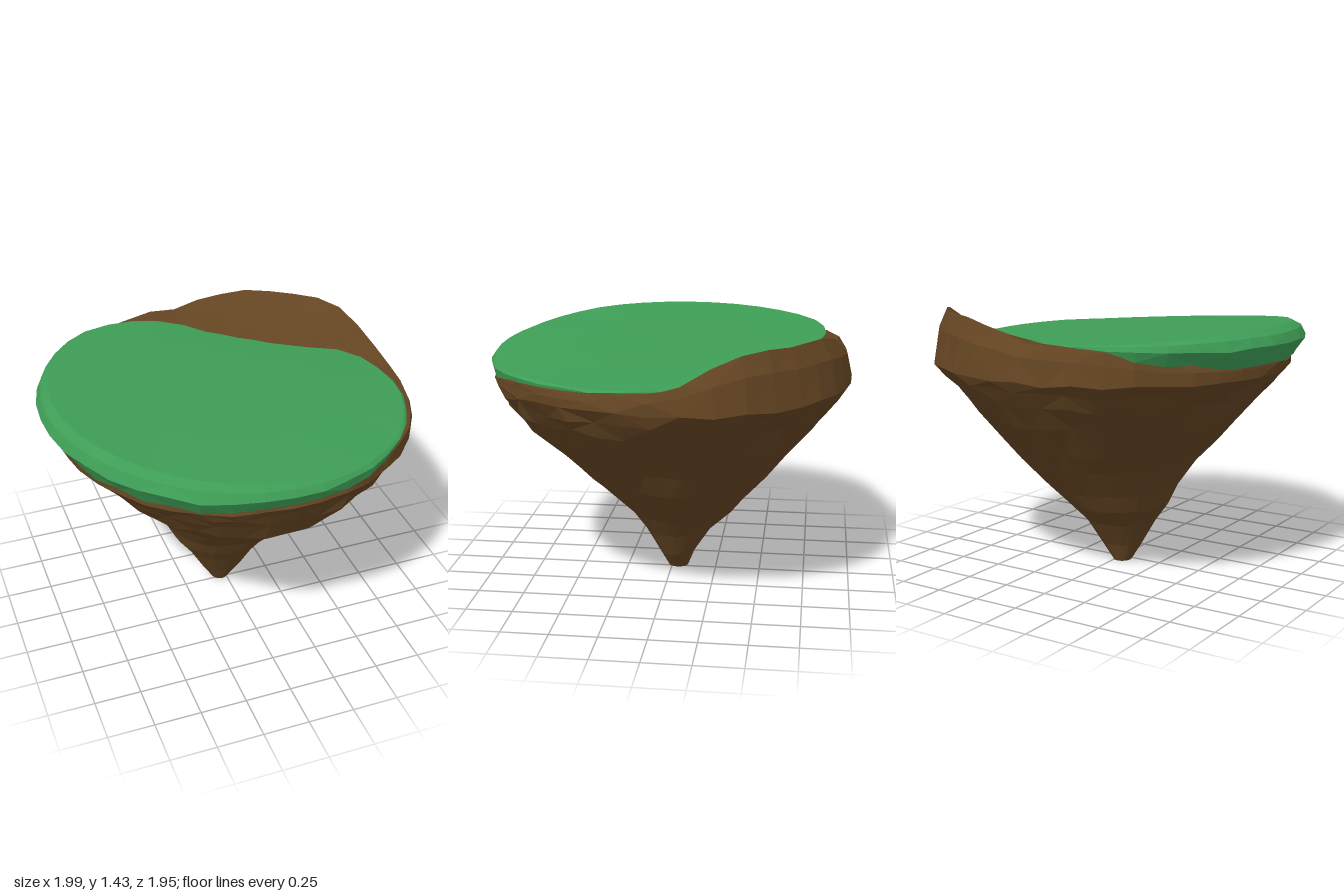
import * as THREE from 'three';

const SEGMENTS = 40;

// Rock cross-sections: height, left, right, back, front
const LEVELS = [
  [0.0, -0.08, 0.02, -0.09, 0.02],
  [0.1, -0.14, 0.10, -0.13, 0.07],
  [0.24, -0.22, 0.18, -0.22, 0.15],
  [0.35, -0.30, 0.27, -0.34, 0.23],
  [0.45, -0.35, 0.40, -0.41, 0.30],
  [0.6, -0.44, 0.55, -0.54, 0.45],
  [0.72, -0.55, 0.64, -0.64, 0.58],
  [0.88, -0.69, 0.78, -0.78, 0.79],
  [1.0, -0.79, 0.89, -0.88, 0.87],
  [1.08, -0.86, 0.96, -0.94, 0.91],
];

// Rim by angle (0 = +x, 90 = front): degrees, grass top radius,
// grass outer radius, grass bottom y, rock crest radius, crest y, lip radius
const RIM = [
  [-128, 0.95, 0.985, 1.25, 0.94, 1.26, 0.97],
  [-118, 0.92, 0.93, 1.29, 0.95, 1.31, 0.98],
  [-104, 0.85, 0.86, 1.29, 0.92, 1.32, 0.98],
  [-90, 0.72, 0.73, 1.27, 0.89, 1.33, 0.98],
  [-80, 0.61, 0.62, 1.26, 0.89, 1.37, 0.98],
  [-63, 0.56, 0.57, 1.25, 0.90, 1.42, 1.0],
  [-45, 0.57, 0.58, 1.24, 0.93, 1.425, 1.02],
  [-29, 0.64, 0.65, 1.23, 0.95, 1.42, 1.03],
  [-22, 0.76, 0.77, 1.22, 0.95, 1.40, 1.03],
  [-12, 0.85, 0.86, 1.21, 0.96, 1.29, 1.01],
  [0, 0.88, 0.90, 1.21, 0.97, 1.23, 0.995],
  [18, 0.91, 0.95, 1.21, 0.97, 1.22, 0.995],
  [35, 0.92, 0.97, 1.21, 0.98, 1.22, 0.99],
  [60, 0.92, 0.98, 1.19, 0.96, 1.20, 0.97],
  [90, 0.91, 0.98, 1.16, 0.92, 1.17, 0.945],
  [115, 0.91, 0.99, 1.15, 0.92, 1.16, 0.93],
  [150, 0.92, 1.0, 1.18, 0.92, 1.19, 0.93],
  [180, 0.93, 1.0, 1.19, 0.92, 1.20, 0.92],
  [205, 0.94, 0.995, 1.21, 0.92, 1.22, 0.94],
  [232, 0.95, 0.985, 1.25, 0.94, 1.26, 0.97],
];

function rimAt(deg) {
  const d = deg > 232 ? deg - 360 : deg;
  const k = RIM.findIndex((row, i) => i > 0 && d <= row[0]);
  const a = RIM[k - 1], b = RIM[k], t = (d - a[0]) / (b[0] - a[0]);
  const [, top, outer, bottom, crestR, crestY, lipR] = a.map((v, i) => v + (b[i] - v) * t);
  return { top, outer, bottom, crestR, crestY, lipR };
}

// Gently sloping meadow height
const meadowY = (x, z) => 1.31 - 0.075 * x - 0.05 * Math.max(0, z - 0.5);

function makeRandom(seed) {
  return () => {
    seed = (seed * 16807) % 2147483647;
    return seed / 2147483647 - 0.5;
  };
}

// Faceted skin over closed rings, ordered from the underside up and inward
function skin(rings) {
  const out = [];
  const tri = (...points) => points.forEach((p) => out.push(...p));
  for (let i = 0; i < rings.length - 1; i++) {
    for (let j = 0; j < SEGMENTS; j++) {
      const k = (j + 1) % SEGMENTS;
      const a = rings[i][j], b = rings[i][k], c = rings[i + 1][j], d = rings[i + 1][k];
      if ((i + j) % 2) { tri(a, c, b); tri(b, c, d); }
      else { tri(a, c, d); tri(a, d, b); }
    }
  }
  const geometry = new THREE.BufferGeometry();
  geometry.setAttribute('position', new THREE.Float32BufferAttribute(out, 3));
  geometry.computeVertexNormals();
  return geometry;
}

function makeRing(fn) {
  return Array.from({ length: SEGMENTS }, (_, j) => {
    const deg = (j * 360) / SEGMENTS, a = (deg * Math.PI) / 180;
    return fn(Math.cos(a), Math.sin(a), rimAt(deg));
  });
}

export function createModel() {
  const island = new THREE.Group();
  island.name = 'floatingIsland';
  const earth = new THREE.MeshStandardMaterial({ color: 0x634422 });
  earth.name = 'brown earth';
  const grass = new THREE.MeshStandardMaterial({ color: 0x3e9d56 });
  grass.name = 'green grass';

  const random = makeRandom(4127);
  const polar = (c, s, r, y) => [c * r, y, s * r];
  const edgeY = (c, s, r) => meadowY(c * r, s * r);

  // Rock underside, roughened less towards the tip
  const rock = [makeRing(() => [-0.03, 0, -0.035])];
  for (const [y, l, r, b, f] of LEVELS) {
    const rough = y * 0.03;
    rock.push(makeRing((c, s) => {
      const grow = 1 + random() * rough;
      return [
        (l + r) / 2 + ((r - l) / 2) * c * grow,
        y + random() * rough,
        (b + f) / 2 + ((f - b) / 2) * s * grow,
      ];
    }));
  }
  // Lip, shoulder and crest
  rock.push(
    makeRing((c, s, e) => polar(c, s, e.lipR + random() * 0.01, 1.14 + random() * 0.02)),
    makeRing((c, s, e) => polar(c, s, e.crestR * 0.35 + e.lipR * 0.65 + random() * 0.01,
      1.14 + (e.crestY - 1.14) * 0.65 + random() * 0.01)),
    makeRing((c, s, e) => polar(c, s, e.crestR + random() * 0.015, e.crestY + random() * 0.01)),
  );
  // Hollow slope from the crest down to the edge of the meadow
  for (const [across, up] of [[0.7, 0.6], [0.35, 0.22]]) {
    rock.push(makeRing((c, s, e) => {
      const r = e.top + (e.crestR - e.top) * across;
      const base = Math.min(e.crestY, edgeY(c, s, r));
      return polar(c, s, r, base + (e.crestY - base) * up);
    }));
  }
  rock.push(makeRing((c, s, e) => polar(c, s, e.top * 0.97, edgeY(c, s, e.top * 0.97) - 0.025)));
  const rockMesh = new THREE.Mesh(skin(rock), earth);
  rockMesh.name = 'rockBody';

  // Grass: skirt, rounded edge and meadow
  const turf = [
    makeRing((c, s, e) => polar(c, s, Math.min(e.outer - 0.01, e.crestR + 0.015), e.bottom + random() * 0.025)),
    makeRing((c, s, e) => polar(c, s, e.outer + random() * 0.012,
      e.bottom + (edgeY(c, s, e.top) - e.bottom) * 0.55 + random() * 0.015)),
    makeRing((c, s, e) => polar(c, s, e.top * 0.35 + e.outer * 0.65,
      e.bottom + (edgeY(c, s, e.top) - e.bottom) * 0.84)),
    makeRing((c, s, e) => polar(c, s, e.top, edgeY(c, s, e.top) - 0.005)),
    makeRing((c, s, e) => polar(c, s, e.top * 0.6, edgeY(c, s, e.top * 0.6))),
    makeRing(() => [0, meadowY(0, 0), 0]),
  ];
  const turfMesh = new THREE.Mesh(skin(turf), grass);
  turfMesh.name = 'grassTop';

  island.add(rockMesh, turfMesh);
  return island;
}
